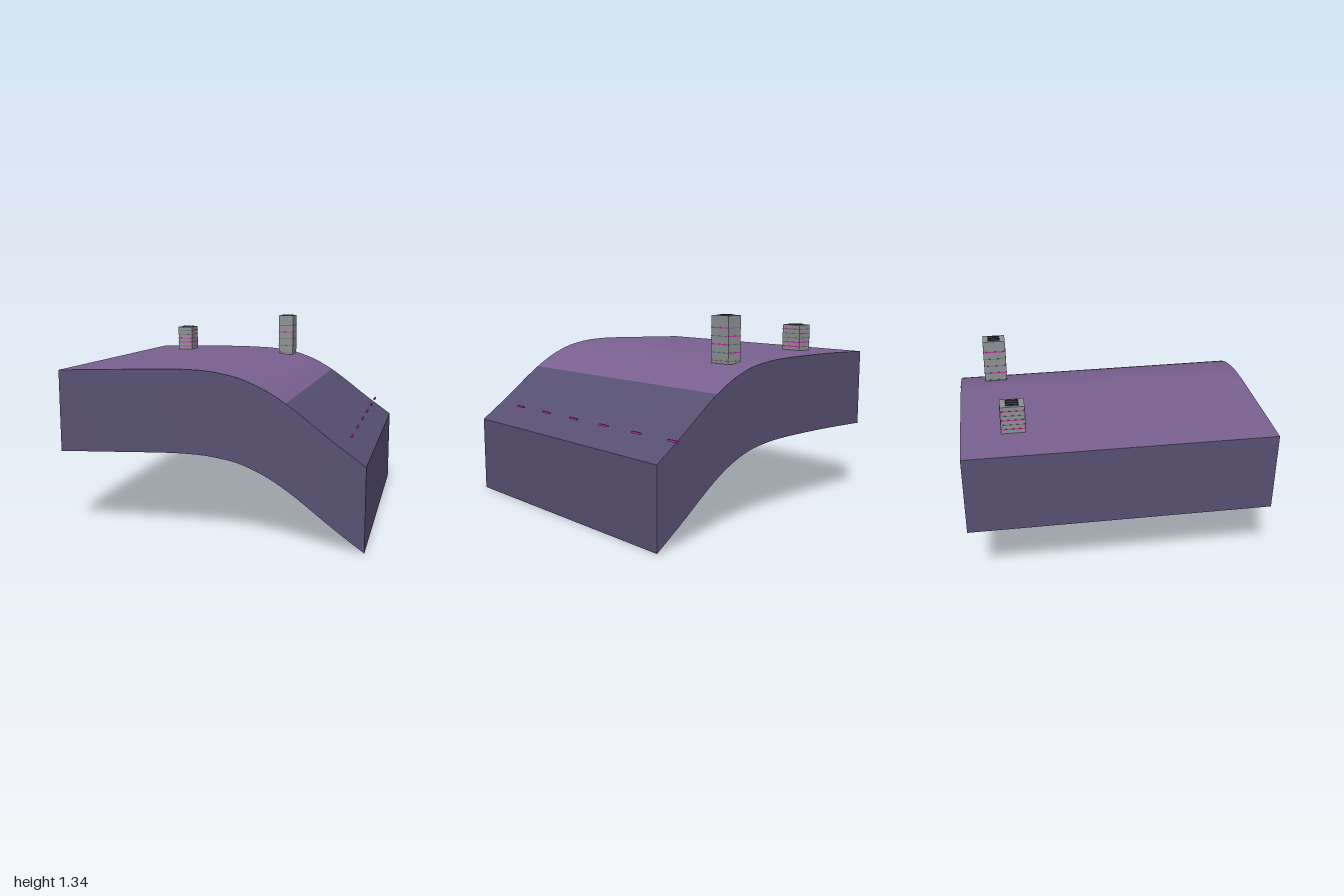
import * as THREE from 'three';

const mat = (name, color, side = THREE.FrontSide) => {
  const m = new THREE.MeshStandardMaterial({ color, side });
  m.name = name;
  return m;
};

const X0 = -0.98, X1 = 0.975, Z0 = -0.96, Z1 = 1, SPLIT = 0.49, DEPTH = 0.525;

// Ridge profile: [x, height at the front edge]
const PROFILE = [
  [-0.98, 1.048], [-0.6, 1.062], [-0.3, 1.073], [-0.15, 1.075], [0, 1.068], [0.12, 1.05],
  [0.2, 1.031], [0.3, 0.993], [0.4, 0.943], [0.5, 0.88], [0.6, 0.807], [0.7, 0.729],
  [0.8, 0.653], [0.9, 0.581], [0.975, 0.527],
];

// Smooth height lookup (cubic Hermite), with a slight sag toward the back
function height(x, z) {
  const n = PROFILE.length;
  let i = 0;
  while (i < n - 2 && x > PROFILE[i + 1][0]) i++;
  const slope = (k) => {
    const a = PROFILE[Math.max(k - 1, 0)], b = PROFILE[Math.min(k + 1, n - 1)];
    return (b[1] - a[1]) / (b[0] - a[0]);
  };
  const [xa, ya] = PROFILE[i], [xb, yb] = PROFILE[i + 1];
  const w = xb - xa, t = THREE.MathUtils.clamp((x - xa) / w, 0, 1);
  const t2 = t * t, t3 = t2 * t;
  const y = (2 * t3 - 3 * t2 + 1) * ya + (t3 - 2 * t2 + t) * w * slope(i)
    + (3 * t2 - 2 * t3) * yb + (t3 - t2) * w * slope(i + 1);
  const back = (Z1 - z) / (Z1 - Z0);
  return y - 0.02 * back * Math.exp(-(((x + 0.05) / 0.45) ** 2));
}

// Plane grid whose vertices are placed by a rule of (u, v)
function sheet(nu, nv, rule) {
  const g = new THREE.PlaneGeometry(1, 1, nu, nv);
  const p = g.attributes.position;
  for (let i = 0; i < p.count; i++) p.setXYZ(i, ...rule(p.getX(i) + 0.5, p.getY(i) + 0.5));
  g.computeVertexNormals();
  return g;
}

export function createModel() {
  const model = new THREE.Group();
  model.name = 'hillsideBlock';
  const plateau = mat('plateauPurple', 0x7a6190, THREE.DoubleSide);
  const slate = mat('slatePurple', 0x575072, THREE.DoubleSide);
  const grey = mat('towerGrey', 0x8e9194);
  const seam = mat('seamGrey', 0x6b6e72);
  const magenta = mat('neonMagenta', 0xc92fae);
  const dark = mat('ventDark', 0x34344a);

  const add = (parent, name, geo, material, x = 0, y = 0, z = 0) => {
    const m = new THREE.Mesh(geo, material);
    m.name = name;
    m.position.set(x, y, z);
    parent.add(m);
    return m;
  };
  const lerp = THREE.MathUtils.lerp;

  // Ground: flat plateau and steep slope
  const ground = (xa, xb) => sheet(40, 10, (u, v) => {
    const x = lerp(xa, xb, u), z = lerp(Z1, Z0, v);
    return [x, height(x, z), z];
  });
  add(model, 'plateauTop', ground(X0, SPLIT), plateau);
  add(model, 'slopeTop', ground(SPLIT, X1), slate);

  // Skirt walls of constant depth, open underneath
  const wall = (xa, za, xb, zb) => sheet(50, 1, (u, v) => {
    const x = lerp(xa, xb, u), z = lerp(za, zb, u);
    return [x, height(x, z) - DEPTH * (1 - v), z];
  });
  add(model, 'frontWall', wall(X0, Z1, X1, Z1), slate);
  add(model, 'leftWall', wall(X1, Z1, X1, Z0), slate);
  add(model, 'backWall', wall(X1, Z0, X0, Z0), slate);
  add(model, 'rightWall', wall(X0, Z0, X0, Z1), slate);

  // Dashed marker line hovering over the slope
  for (let i = 0; i < 6; i++) {
    add(model, 'laneDash', new THREE.BoxGeometry(0.012, 0.012, 0.085), magenta,
      0.85, 0.647, -0.958 + i * 0.326);
  }

  // Tower with floor seams on each face; 'm' marks a lit seam, '-' a plain one
  const W = 0.113, D = 0.153;
  function tower(name, x, z, bottom, top, firstSeam, step, faces) {
    const g = new THREE.Group();
    g.name = name;
    g.position.set(x, 0, z);
    model.add(g);
    add(g, 'towerBody', new THREE.BoxGeometry(W, top - bottom, D), grey, 0, (top + bottom) / 2, 0);
    faces.forEach((pattern, f) => {
      const a = f * Math.PI / 2;
      const width = f % 2 ? D : W, out = (f % 2 ? W : D) / 2 + 0.001;
      [...pattern].forEach((c, i) => {
        const lit = c === 'm';
        const strip = add(g, lit ? 'litSeam' : 'floorSeam',
          new THREE.BoxGeometry(width, lit ? 0.007 : 0.004, 0.002), lit ? magenta : seam,
          Math.sin(a) * out, firstSeam - i * step, Math.cos(a) * out);
        strip.rotation.y = a;
      });
    });
    // Roof vents
    for (const k of [-1, 0, 1]) {
      add(g, 'roofVent', new THREE.BoxGeometry(0.014, 0.006, 0.083), dark, k * 0.031, top + 0.002, 0);
    }
  }
  // Faces in order: front, left, back, right
  tower('tallTower', 0.162, -0.712, 1.025, 1.334, 1.256, 0.053, ['mm---', 'm-m--', '-m-m-', 'm--m-']);
  tower('shortTower', -0.655, -0.631, 1.04, 1.238, 1.208, 0.031, ['--mmm-', 'm--mm-', '-m-m--', 'm-m-m-']);

  return model;
}
